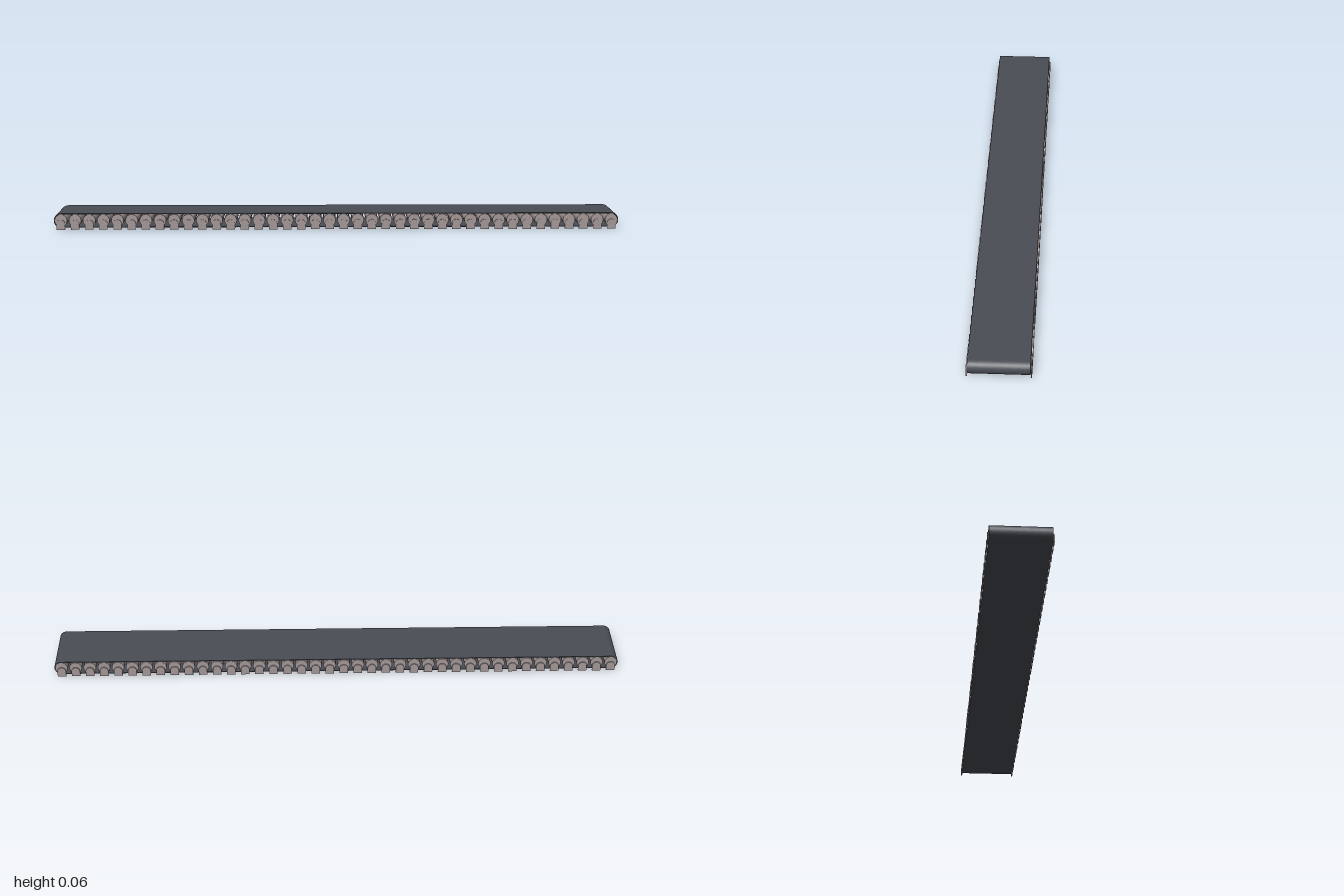
import * as THREE from 'three';

const COUNT = 40, PITCH = 0.05, AXIS_Y = 0.032;
const OUTER = 0.025, INNER = 0.0225, END_X = 0.975, HALF_WIDTH = 0.1;

// Stadium outline: two straight runs joined by half circles
function stadium(path, r) {
  path.moveTo(-END_X, -r);
  path.lineTo(END_X, -r);
  path.absarc(END_X, 0, r, -Math.PI / 2, Math.PI / 2, false);
  path.lineTo(-END_X, r);
  path.absarc(-END_X, 0, r, Math.PI / 2, Math.PI * 1.5, false);
  return path;
}

export function createModel() {
  const model = new THREE.Group();
  model.name = 'conveyor';
  const rubber = new THREE.MeshStandardMaterial({ color: 0x4a4d55 });
  const steel = new THREE.MeshStandardMaterial({ color: 0xa39696 });

  // Endless belt, hollow inside
  const loop = stadium(new THREE.Shape(), OUTER);
  loop.holes.push(stadium(new THREE.Path(), INNER));
  const beltGeo = new THREE.ExtrudeGeometry(loop, {
    depth: HALF_WIDTH * 2, bevelEnabled: false, curveSegments: 16,
  });
  beltGeo.translate(0, AXIS_Y, -HALF_WIDTH);
  const belt = new THREE.Mesh(beltGeo, rubber);
  belt.name = 'belt';
  model.add(belt);

  // Rollers carrying the belt
  const rollerGeo = new THREE.CylinderGeometry(0.022, 0.022, HALF_WIDTH * 2, 20);
  rollerGeo.rotateX(Math.PI / 2);

  // Upright support plate with a rounded head around the axle
  const plate = new THREE.Shape();
  plate.moveTo(-0.015, 0);
  plate.lineTo(0.015, 0);
  plate.lineTo(0.015, 0.02);
  plate.absarc(0, 0.02, 0.015, 0, Math.PI, false);
  plate.lineTo(-0.015, 0);
  const plateGeo = new THREE.ExtrudeGeometry(plate, {
    depth: 0.004, bevelEnabled: false, curveSegments: 12,
  });
  plateGeo.translate(0, 0, -0.002);

  for (let i = 0; i < COUNT; i++) {
    const x = (i - (COUNT - 1) / 2) * PITCH;
    const roller = new THREE.Mesh(rollerGeo, steel);
    roller.name = 'roller';
    roller.position.set(x, AXIS_Y, 0);
    model.add(roller);
    for (const side of [-1, 1]) {
      const support = new THREE.Mesh(plateGeo, steel);
      support.name = side > 0 ? 'frontSupport' : 'backSupport';
      support.position.set(x, 0, side * (HALF_WIDTH + 0.0025));
      model.add(support);
    }
  }
  return model;
}
